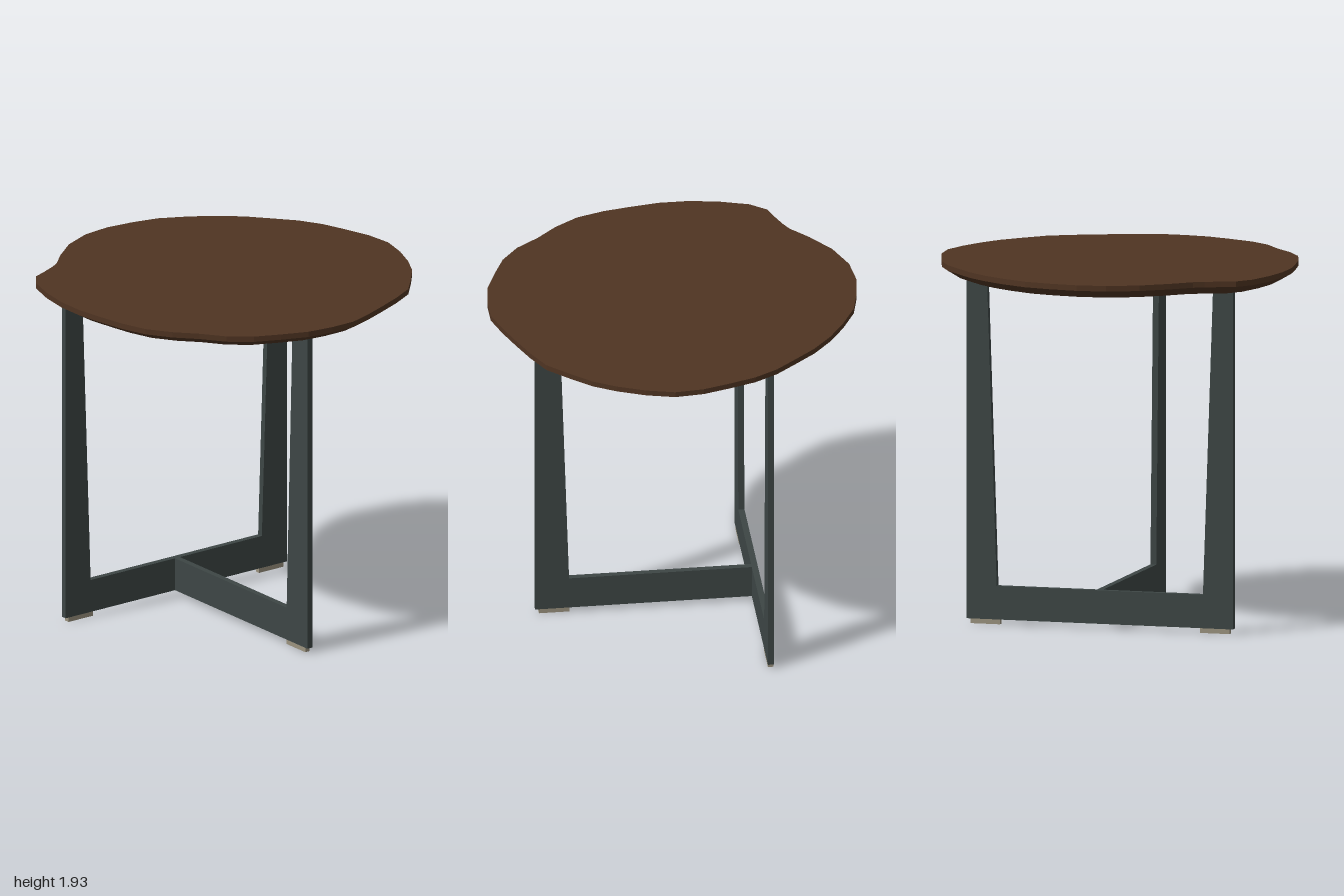
import * as THREE from 'three';

const wood = new THREE.MeshStandardMaterial({ color: 0x4f3422, flatShading: true });
wood.name = 'walnut';
const steel = new THREE.MeshStandardMaterial({ color: 0x3d4645, flatShading: true });
steel.name = 'dark steel';
const pad = new THREE.MeshStandardMaterial({ color: 0x9a927e, flatShading: true });
pad.name = 'foot pad';

const THICK = 0.033, BASE = 0.026, BAR = 0.207, LEG_TOP = 1.855;

function addMesh(parent, name, geometry, material) {
  const mesh = new THREE.Mesh(geometry, material);
  mesh.name = name;
  parent.add(mesh);
  return mesh;
}

// Flat steel plate cut from a profile, centred on its own thickness
function plate(points) {
  const shape = new THREE.Shape(points.map(([x, y]) => new THREE.Vector2(x, y)));
  const geometry = new THREE.ExtrudeGeometry(shape, { depth: THICK, bevelEnabled: false });
  return geometry.translate(0, 0, -THICK / 2);
}

// Live-edge outline of the top as x, z pairs
const outline = [
  [-.05, -1], [.11, -.99], [.26, -.945], [.4, -.885], [.53, -.785], [.64, -.68], [.735, -.56],
  [.81, -.43], [.88, -.305], [.925, -.17], [.945, -.025], [.96, .13], [.945, .285], [.88, .43],
  [.795, .565], [.705, .675], [.595, .765], [.47, .86], [.33, .905], [.18, .94], [.035, .97],
  [-.11, .99], [-.25, .965], [-.39, .92], [-.52, .84], [-.645, .755], [-.74, .645], [-.805, .51],
  [-.885, .385], [-.945, .245], [-.965, .09], [-.965, -.06], [-.96, -.215], [-.93, -.375],
  [-.875, -.53], [-.8, -.675], [-.72, -.75], [-.64, -.765], [-.555, -.785], [-.495, -.805],
  [-.38, -.88], [-.225, -.96],
];

// Slab made of scaled copies of the outline: flat top, short edge, undercut bevel, shallow underside
function slabGeometry() {
  const rings = [[0, 1.93], [1, 1.93], [1, 1.9], [0.925, 1.857], [0, 1.844]];
  const positions = [];
  const n = outline.length;
  const point = ([scale, y], i) => [outline[i % n][0] * scale, y, outline[i % n][1] * scale];
  for (let r = 0; r < rings.length - 1; r++) {
    for (let i = 0; i < n; i++) {
      const a = point(rings[r], i), b = point(rings[r], i + 1);
      const c = point(rings[r + 1], i), d = point(rings[r + 1], i + 1);
      if (rings[r][0] > 0) positions.push(...a, ...b, ...d);
      if (rings[r + 1][0] > 0) positions.push(...a, ...d, ...c);
    }
  }
  const geometry = new THREE.BufferGeometry();
  geometry.setAttribute('position', new THREE.Float32BufferAttribute(positions, 3));
  geometry.computeVertexNormals();
  return geometry;
}

export function createModel() {
  const model = new THREE.Group();
  model.name = 'sideTable';
  addMesh(model, 'tableTop', slabGeometry(), wood);

  // T-shaped base, turned slightly about the vertical
  const base = new THREE.Group();
  base.name = 'base';
  base.position.set(0.0415, 0, -0.44);
  base.rotation.y = -0.183;
  model.add(base);

  // Rear U frame with two tapering legs
  const L = 0.744;
  addMesh(base, 'rearFrame', plate([
    [-L, BASE], [L, BASE], [L, LEG_TOP], [L - 0.114, LEG_TOP], [L - 0.168, BAR],
    [-L + 0.168, BAR], [-L + 0.112, LEG_TOP], [-L, LEG_TOP],
  ]), steel);

  // Front L frame meeting the rear frame at a right angle
  const D = 1.184, offset = 0.008;
  const front = addMesh(base, 'frontFrame', plate([
    [THICK / 2, BASE], [D, BASE], [D, LEG_TOP], [D - 0.13, LEG_TOP], [D - 0.183, BAR], [THICK / 2, BAR],
  ]), steel);
  front.rotation.y = -Math.PI / 2;
  front.position.x = offset;

  // Pads under the three legs
  const inset = 0.103;
  for (const [name, x, z, turn] of [
    ['leftFoot', L - inset + 0.063 - 0.063, 0, 0],
    ['rightFoot', -L + inset, 0, 0],
    ['frontFoot', offset, D - inset, Math.PI / 2],
  ]) {
    const foot = addMesh(base, name, new THREE.BoxGeometry(0.165, BASE, 0.029), pad);
    foot.position.set(x, BASE / 2, z);
    foot.rotation.y = turn;
  }
  return model;
}
